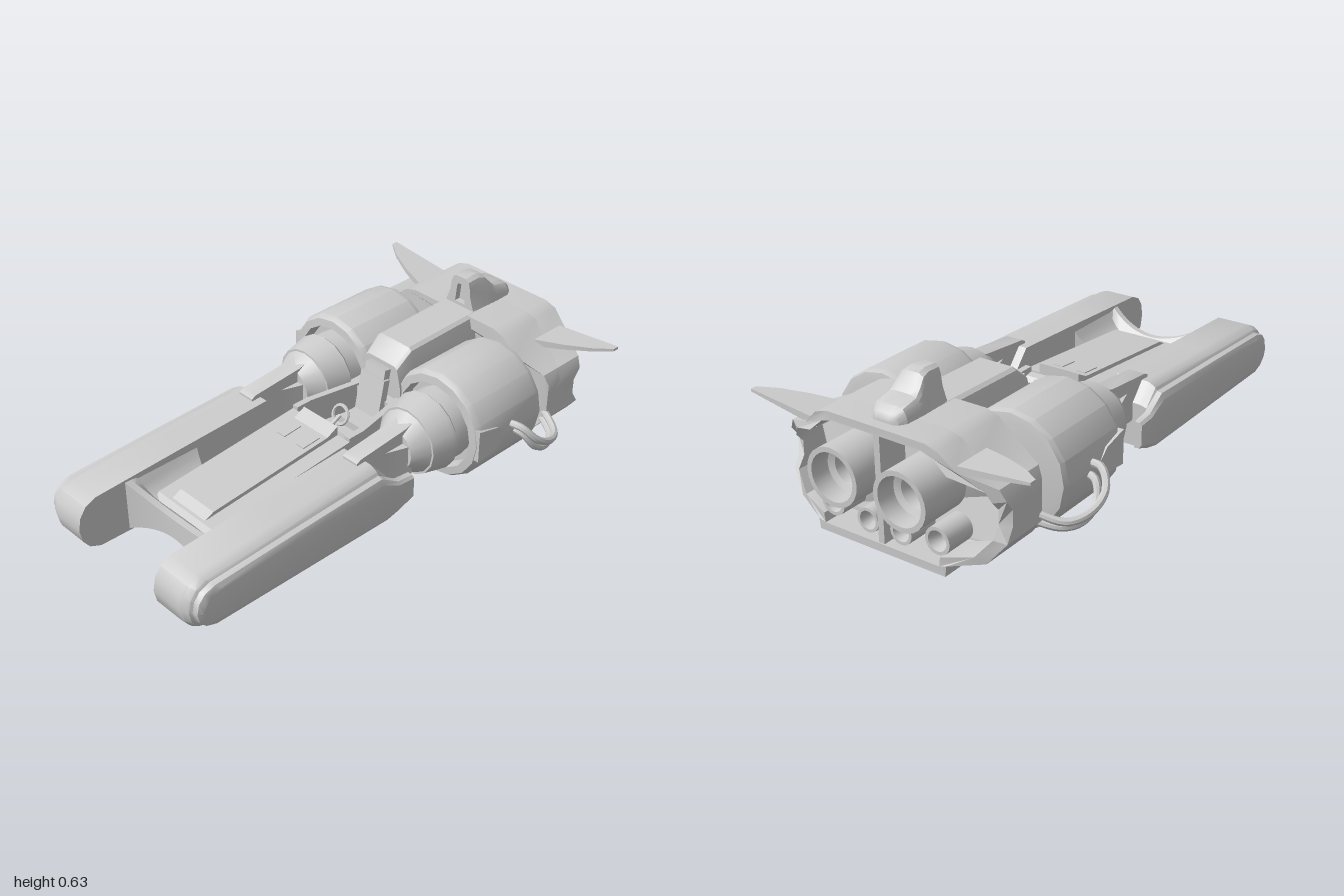
import * as THREE from 'three';
import { toCreasedNormals } from 'three/addons/utils/BufferGeometryUtils.js';

const material = new THREE.MeshStandardMaterial({ color: 0xcccccc });
const shapeOf = (pts) => new THREE.Shape(pts.map(([a, b]) => new THREE.Vector2(a, b)));
const extrude = (shape, depth) => new THREE.ExtrudeGeometry(shape, { depth, bevelEnabled: false });

// side profile of [z, y] points, spanning x0..x1
const alongX = (pts, x0, x1) => extrude(shapeOf(pts), x1 - x0).rotateY(-Math.PI / 2).translate(x1, 0, 0);
// plan of [x, z] points, spanning y0..y1
const alongY = (pts, y0, y1) => extrude(shapeOf(pts), y1 - y0).rotateX(Math.PI / 2).translate(0, y1, 0);
// profile of [radius, z] points turned about the z axis
const turned = (pts, x, y, sides = 16) =>
  new THREE.LatheGeometry(pts.map(([r, z]) => new THREE.Vector2(r, z)), sides).rotateX(Math.PI / 2).translate(x, y, 0);
const box = (w, h, d, x, y, z, tilt = 0) => new THREE.BoxGeometry(w, h, d).rotateX(tilt).translate(x, y, z);

// skin over sections [z, ring], rings counterclockwise from the front, front to back
function loft(sections) {
  const pos = [];
  const put = (s, p) => pos.push(p[0], p[1], s[0]);
  const n = sections[0][1].length;
  for (let i = 0; i < sections.length - 1; i++) {
    const s = sections[i], t = sections[i + 1];
    for (let j = 0; j < n; j++) {
      const k = (j + 1) % n;
      put(s, s[1][j]); put(t, t[1][j]); put(s, s[1][k]);
      put(s, s[1][k]); put(t, t[1][j]); put(t, t[1][k]);
    }
  }
  for (const [s, flip] of [[sections[0], false], [sections[sections.length - 1], true]]) {
    const faces = THREE.ShapeUtils.triangulateShape(s[1].map((p) => new THREE.Vector2(...p)), []);
    for (const [a, b, c] of faces) for (const i of flip ? [a, c, b] : [a, b, c]) put(s, s[1][i]);
  }
  return new THREE.BufferGeometry().setAttribute('position', new THREE.Float32BufferAttribute(pos, 3));
}

// move every vertex by a rule
function bend(geo, rule) {
  const p = geo.attributes.position, v = new THREE.Vector3();
  for (let i = 0; i < p.count; i++) {
    rule(v.fromBufferAttribute(p, i));
    p.setXYZ(i, v.x, v.y, v.z);
  }
  return geo;
}

function mirrored(geo) {
  const g = geo.index ? geo.toNonIndexed() : geo.clone();
  g.scale(-1, 1, 1);
  const p = g.attributes.position, a = new THREE.Vector3(), b = new THREE.Vector3();
  for (let i = 0; i < p.count; i += 3) {
    a.fromBufferAttribute(p, i + 1);
    b.fromBufferAttribute(p, i + 2);
    p.setXYZ(i + 1, b.x, b.y, b.z);
    p.setXYZ(i + 2, a.x, a.y, a.z);
  }
  return g;
}

export function createModel() {
  const model = new THREE.Group();
  const add = (name, geo, crease = 0.5) => {
    const flat = geo.index ? geo.toNonIndexed() : geo;
    flat.deleteAttribute('uv');
    const mesh = new THREE.Mesh(toCreasedNormals(flat, crease), material);
    mesh.name = name;
    model.add(mesh);
  };
  const pair = (name, geo) => {
    const other = mirrored(geo);
    add(name + 'Left', geo);
    add(name + 'Right', other);
  };

  // central hull with open cockpit, and belly widening to the stern
  add('hull', alongX([[0.73, 0.205], [0.7, 0.243], [0.07, 0.295], [0.07, 0.2], [-0.2, 0.2], [-0.2, 0.3], [-0.65, 0.3],
    [-0.65, 0.05], [-0.2, 0.05], [-0.06, 0], [0, 0], [0.61, 0.035], [0.68, 0.1]], -0.15, 0.15), 0.1);
  add('belly', alongY([[0.15, -0.2], [0.25, -0.64], [-0.25, -0.64], [-0.15, -0.2]], 0.052, 0.1));
  add('deckPanel', alongX([[0.69, 0.22], [0.69, 0.243], [0.65, 0.262], [0.12, 0.307], [0.07, 0.332], [0.07, 0.25]], -0.088, 0.088), 0.1);
  pair('deckVent', box(0.04, 0.008, 0.08, 0.05, 0.302, 0.18, 0.085));
  pair('cockpitRim', alongY([[0.15, 0.07], [0.15, 0], [0.105, -0.24], [0.08, -0.24], [0.125, 0], [0.125, 0.07]], 0.18, 0.31));

  // cockpit fittings
  add('seatBack', box(0.12, 0.2, 0.03, 0, 0.29, -0.19, -0.2));
  add('seatCushion', box(0.12, 0.03, 0.1, 0, 0.22, -0.13));
  add('headrest', box(0.1, 0.05, 0.03, 0, 0.4, -0.22, -0.2));
  add('dashboard', alongX([[0.07, 0.2], [0.07, 0.29], [0.04, 0.285], [0, 0.235], [0, 0.2]], -0.126, 0.126));
  add('steeringColumn', new THREE.CylinderGeometry(0.008, 0.008, 0.06, 8).rotateX(-1.1).translate(0, 0.278, 0));
  add('steeringWheel', new THREE.TorusGeometry(0.036, 0.007, 6, 16).rotateX(-0.4).translate(0, 0.293, -0.03));

  // spine fairing behind the cockpit
  const trapezoid = (z, low, high, top) =>
    [z, [[-low, 0.2], [low, 0.2], [low, top - 0.09], [high, top - 0.01], [high - 0.015, top],
      [0.015 - high, top], [-high, top - 0.01], [-low, top - 0.09]]];
  add('spine', loft([trapezoid(-0.24, 0.1, 0.08, 0.44), trapezoid(-0.31, 0.105, 0.085, 0.495), trapezoid(-0.68, 0.105, 0.085, 0.502)]));

  // dorsal fin with rounded crest and recessed intake
  const finRing = (z, top, w, low, foot) => {
    const h = top - low;
    const side = [[foot, 0], [w * 1.12, 0.5], [w, 0.78], [w * 0.85, 0.93], [w * 0.5, 1]].map(([x, t]) => [x, low + h * t]);
    return [z, [...side, ...side.map(([x, y]) => [-x, y]).reverse()]];
  };
  add('dorsalFin', loft([
    finRing(-0.69, 0.595, 0.018, 0.515, 0.024), finRing(-0.665, 0.595, 0.018, 0.515, 0.024),
    finRing(-0.665, 0.625, 0.046, 0.48, 0.077), finRing(-0.72, 0.63, 0.05, 0.48, 0.077),
    finRing(-0.75, 0.62, 0.054, 0.48, 0.077), finRing(-0.775, 0.59, 0.06, 0.48, 0.077),
    finRing(-0.8, 0.565, 0.064, 0.48, 0.076), finRing(-0.865, 0.55, 0.063, 0.48, 0.074),
    finRing(-0.89, 0.53, 0.05, 0.48, 0.06), finRing(-0.9, 0.51, 0.035, 0.48, 0.045)]));

  // waisted bridge joining the prongs, dipping behind its front lip
  const bridge = [];
  for (let i = 10; i >= -10; i--) {
    const t = (i / 10) ** 2;
    const front = 0.755 + 0.045 * t, back = 0.52 - 0.04 * t, top = 0.235 + 0.07 * t, low = 0.15 - 0.05 * t;
    const dip = 0.21 + 0.09 * t * t;
    bridge.push([i * 0.021, [[-front, low], [-back, low], [-back, dip], [0.055 - front, dip], [0.025 - front, top], [-front, top]]]);
  }
  add('forkBridge', loft(bridge).rotateY(Math.PI / 2));

  // forward prongs: rounded nose, stepped outer plate reaching further back
  const prong = [[0, 0.13], [0, 0.26], [0.07, 0.27], [0.15, 0.338], [0.55, 0.322], [0.92, 0.305], [0.965, 0.285], [0.99, 0.25],
    [1, 0.2], [0.99, 0.15], [0.965, 0.115], [0.92, 0.095], [0.12, 0.083], [0.06, 0.1]];
  const prongRing = (x, inset, rear) => [x, prong.map(([z, y]) =>
    [-Math.max(rear, 0.48 + (z - 0.48) * (1 - (z > 0.48 ? inset / 0.55 : 0))), 0.205 + (y - 0.205) * (1 - inset / 0.12)])];
  pair('prong', loft([prongRing(0.405, 0.048, 0), prongRing(0.395, 0.028, 0), prongRing(0.375, 0.024, 0), prongRing(0.368, 0.014, 0.09),
    prongRing(0.345, 0.003, 0.09), prongRing(0.33, 0, 0.09), prongRing(0.205, 0, 0.09)]).rotateY(Math.PI / 2));
  pair('prongStrut', alongX([[0.19, 0.3], [0.19, 0.345], [0.17, 0.355], [-0.05, 0.375], [-0.12, 0.4], [-0.12, 0.28], [0.05, 0.28]], 0.24, 0.31));
  pair('prongMount', alongY([[0.345, -0.05], [0.205, -0.05], [0.24, 0.05], [0.24, 0.11], [0.31, 0.11], [0.31, 0.05]], 0.2, 0.32));

  // engine pods with broad front rim and inner cone
  pair('enginePod', turned([[0, -0.6], [0.18, -0.6], [0.208, -0.595], [0.215, -0.575], [0.215, -0.27], [0.203, -0.248], [0.172, -0.245],
    [0.165, -0.29], [0.14, -0.29], [0.14, -0.215], [0.155, -0.2], [0.152, -0.185], [0.133, -0.1], [0.125, -0.1], [0.085, -0.035], [0, -0.035]], 0.27, 0.28));
  pair('podShaft', turned([[0.073, -0.68], [0.073, -0.59]], 0.27, 0.28));
  pair('podSidePlate', alongX([[-0.25, 0.22], [-0.25, 0.35], [-0.35, 0.325], [-0.4, 0.28], [-0.35, 0.23]], 0.44, 0.484));

  // hoses from pod to stern
  const hose = (pts) => new THREE.TubeGeometry(new THREE.CatmullRomCurve3(pts.map((p) => new THREE.Vector3(...p))), 24, 0.014, 8);
  pair('upperHose', hose([[0.46, 0.3, -0.43], [0.52, 0.3, -0.44], [0.563, 0.25, -0.48], [0.562, 0.205, -0.56], [0.52, 0.19, -0.64], [0.42, 0.22, -0.69]]));
  pair('lowerHose', hose([[0.46, 0.27, -0.45], [0.51, 0.26, -0.46], [0.54, 0.2, -0.5], [0.535, 0.165, -0.57], [0.5, 0.165, -0.64], [0.41, 0.19, -0.69]]));

  // stern block with stepped flanks and framed open rear, notched at the sides
  const half = [[0.265, 0.05], [0.27, 0.09], [0.39, 0.115], [0.45, 0.19], [0.45, 0.24], [0.45, 0.3], [0.45, 0.34], [0.43, 0.38],
    [0.31, 0.43], [0.25, 0.485], [0.2, 0.5]];
  const outline = [...half, ...half.map(([x, y]) => [-x, y]).reverse()];
  const sweep = (v) => {
    const x = Math.abs(v.x), notch = x > 0.4 && Math.abs(v.y - 0.27) < 0.04 ? 0.03 : 0;
    v.z += v.z < -0.75 ? Math.max(0, x - 0.29) * 0.5 + notch : -Math.max(0, x - 0.36) * 0.5;
  };
  add('sternBlock', bend(extrude(shapeOf(outline), 0.19).translate(0, 0, -0.82), sweep));
  const frame = shapeOf(outline);
  frame.holes.push(shapeOf(outline.map(([x, y]) => [x * 0.91, 0.28 + (y - 0.28) * 0.87])));
  add('sternFrame', bend(extrude(frame, 0.12).translate(0, 0, -0.94), sweep));
  add('sternDivider', box(0.024, 0.42, 0.12, 0, 0.275, -0.875));

  // main and small thrusters
  pair('mainThruster', turned([[0, -0.87], [0.05, -0.87], [0.06, -0.92], [0.083, -0.93], [0.088, -1], [0.106, -1], [0.106, -0.8]], 0.14, 0.305, 24));
  for (const [name, x, y, r] of [['innerThruster', 0.07, 0.135, 0.045], ['outerThruster', 0.22, 0.155, 0.05]])
    pair(name, turned([[0, -0.87], [r * 0.5, -0.87], [r * 0.75, -0.92], [r, -0.92], [r, -0.8]], x, y));

  // swept winglets, thinning toward raised tips
  const wing = alongY([[0.28, -0.755], [0.3, -0.76], [0.41, -0.795], [0.51, -0.84], [0.575, -0.885], [0.575, -0.91], [0.28, -0.91]], 0, 1);
  pair('winglet', bend(wing, (v) => {
    const t = (0.575 - v.x) / 0.295;
    v.y = 0.468 - 0.03 * t - (1 - v.y) * (0.01 + 0.02 * t);
  }));

  return model;
}
